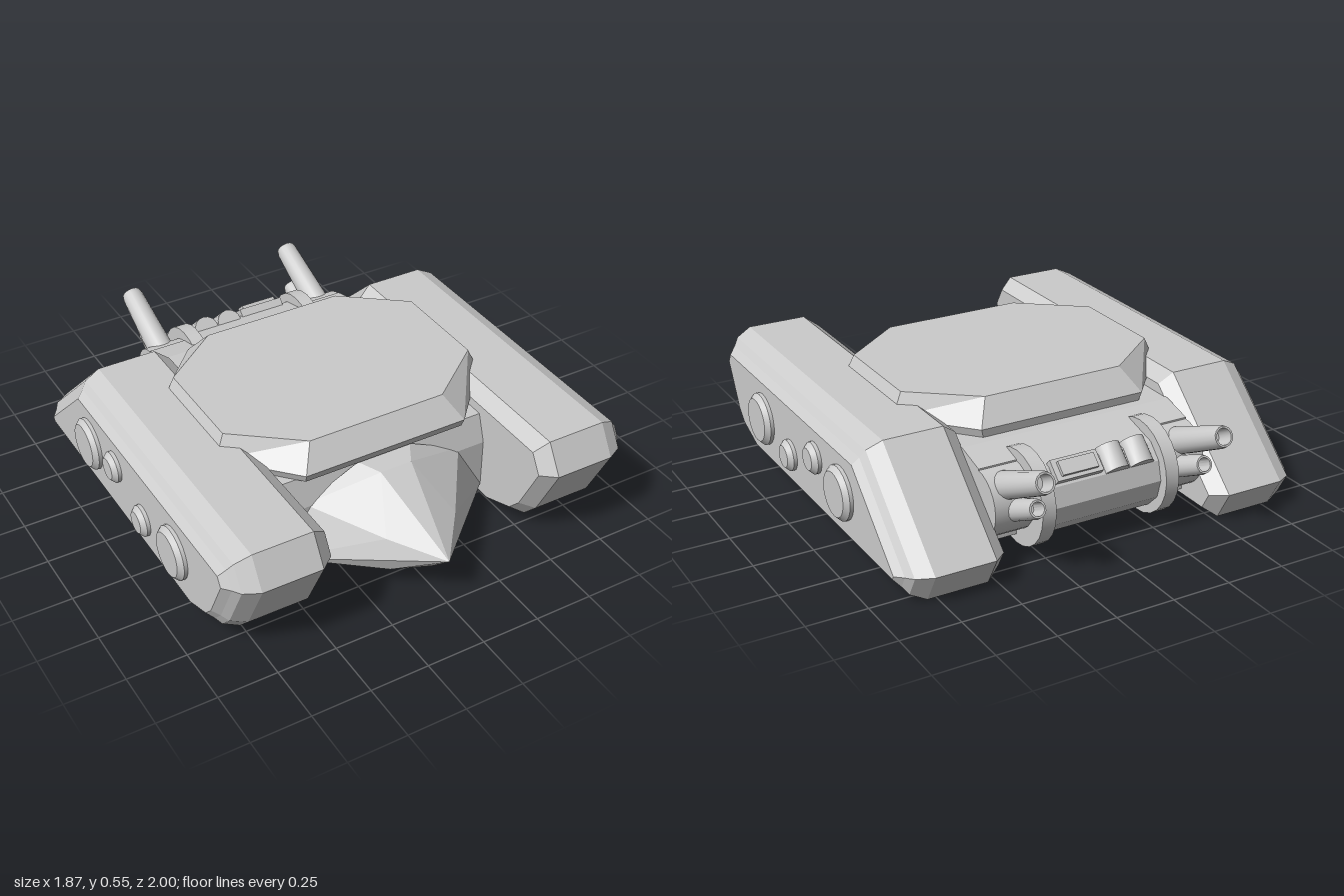
import * as THREE from 'three';
import { ConvexGeometry } from 'three/addons/geometries/ConvexGeometry.js';
import { toCreasedNormals } from 'three/addons/utils/BufferGeometryUtils.js';

const flat = new THREE.MeshStandardMaterial({ color: 0xcccccc, flatShading: true });
const smooth = new THREE.MeshStandardMaterial({ color: 0xcccccc });

// Skin between equal-length rings of [x, y, z] points, with both ends capped.
function loft(rings) {
  const n = rings[0].length;
  const p = rings.flat();
  const faces = [];
  for (let r = 0; r < rings.length - 1; r++) {
    for (let i = 0; i < n; i++) {
      const a = r * n + i, b = r * n + (i + 1) % n;
      faces.push([a, b, b + n], [a, b + n, a + n]);
    }
  }
  const last = (rings.length - 1) * n;
  for (let i = 1; i < n - 1; i++) faces.push([0, i + 1, i], [last, last + i, last + i + 1]);
  // Turn all faces outward, whichever way the rings run.
  const v = (i) => new THREE.Vector3(...p[i]);
  let volume = 0;
  for (const [a, b, c] of faces) volume += v(a).dot(v(b).cross(v(c)));
  const index = faces.flatMap(([a, b, c]) => (volume > 0 ? [a, b, c] : [a, c, b]));
  const g = new THREE.BufferGeometry();
  g.setAttribute('position', new THREE.Float32BufferAttribute(p.flat(), 3));
  g.setIndex(index);
  const out = g.toNonIndexed();
  out.computeVertexNormals();
  return out;
}

// Move every edge of a counter-clockwise outline inward by d.
function inset(outline, d) {
  const n = outline.length;
  const normal = (a, b) => {
    const l = Math.hypot(b[0] - a[0], b[1] - a[1]);
    return [-(b[1] - a[1]) / l, (b[0] - a[0]) / l];
  };
  return outline.map((q, i) => {
    const u = normal(outline[(i + n - 1) % n], q);
    const w = normal(q, outline[(i + 1) % n]);
    const k = d / (1 + u[0] * w[0] + u[1] * w[1]);
    return [q[0] + (u[0] + w[0]) * k, q[1] + (u[1] + w[1]) * k];
  });
}

const sideRing = (outline, x) => outline.map(([z, y]) => [x, y, z]);

function add(parent, name, geometry, material = flat) {
  const m = new THREE.Mesh(geometry, material);
  m.name = name;
  parent.add(m);
  return m;
}

// Round part lying along x, tapering from r0 to r1 on the outer side.
function disc(parent, name, side, x0, x1, r0, r1, y, z) {
  const g = new THREE.CylinderGeometry(r1, r0, x1 - x0, 24);
  const m = add(parent, name, toCreasedNormals(g, 0.6), smooth);
  m.rotation.z = -side * Math.PI / 2;
  m.position.set(side * (x0 + x1) / 2, y, z);
}

// Hollow pipe running up and backward from its base.
function pipe(parent, name, x, y, z, length, r0, r1) {
  const profile = [[0, 0], [r0, 0], [r1, length - 0.02], [r1 - 0.005, length],
    [r1 - 0.013, length], [r1 - 0.015, length - 0.08], [0, length - 0.08]];
  const g = new THREE.LatheGeometry(profile.map((q) => new THREE.Vector2(...q)), 16);
  const m = add(parent, name, toCreasedNormals(g, 0.6), smooth);
  m.position.set(x, y, z);
  m.rotation.x = -1.135;
}

// Side outline of a track pod, as z, y.
const podOutline = [[-0.455, 0.505], [-0.87, 0.125], [-0.8, 0], [0.6, 0],
  [0.77, 0.065], [0.84, 0.14], [0.96, 0.38], [0.885, 0.505]].reverse();
const ccw = (o) => {
  let area = 0;
  o.forEach((a, i) => { const b = o[(i + 1) % o.length]; area += a[0] * b[1] - b[0] * a[1]; });
  return area > 0 ? o : o.slice().reverse();
};
const podSections = [[0.47, 0.045], [0.53, 0], [0.785, 0], [0.85, 0.03], [0.872, 0.06], [0.9, 0.09]];
const wheels = [[0.47, 0.255, 0.112], [0.185, 0.205, 0.066], [-0.07, 0.3, 0.066], [-0.315, 0.255, 0.112]];

function makePod(side) {
  const pod = new THREE.Group();
  pod.name = side > 0 ? 'leftTrackPod' : 'rightTrackPod';
  const outline = ccw(podOutline);
  add(pod, 'podShell', loft(podSections.map(([x, d]) => sideRing(inset(outline, d), side * x))));
  for (const [z, y, r] of wheels) {
    disc(pod, 'wheelRim', side, 0.87, 0.915, r, r, y, z);
    disc(pod, 'wheelCap', side, 0.915, 0.935, r, r - 0.02, y, z);
  }
  return pod;
}

// Eight-sided ring for the top plate.
function plateRing(y, w, wFront, wBack, front, sideFront, sideBack, back) {
  const half = [[wFront, front], [w, sideFront], [w, sideBack], [wBack, back]];
  return [...half, ...half.slice().reverse().map(([x, z]) => [-x, z])].map(([x, z]) => [x, y, z]);
}

export function createModel() {
  const model = new THREE.Group();
  model.name = 'hoverTank';
  for (const s of [1, -1]) model.add(makePod(s));

  // Body between the pods
  const hull = [[0.54, 0.085], [0.54, 0.3], [0.5, 0.42], [-0.5, 0.42], [-0.63, 0.385], [-0.63, 0.065], [0.5, 0.065]];
  add(model, 'hull', loft([sideRing(hull, -0.475), sideRing(hull, 0.475)]));

  // Top plate with bevelled rim
  add(model, 'topPlate', loft([
    plateRing(0.42, 0.6, 0.36, 0.36, 0.53, 0.27, -0.19, -0.46),
    plateRing(0.455, 0.615, 0.365, 0.37, 0.543, 0.275, -0.19, -0.465),
    plateRing(0.553, 0.573, 0.305, 0.31, 0.465, 0.255, -0.18, -0.385),
  ]));

  // Faceted nose
  const nose = [[0, 0.21, 1], [0, 0.105, 0.89]];
  for (const s of [1, -1]) {
    nose.push([s * 0.07, 0.405, 0.61], [s * 0.12, 0.415, 0.52], [s * 0.16, 0.245, 0.8],
      [s * 0.15, 0.1, 0.82], [s * 0.47, 0.085, 0.54], [s * 0.36, 0.3, 0.52], [s * 0.46, 0.07, 0.5]);
  }
  add(model, 'nose', new ConvexGeometry(nose.map((q) => new THREE.Vector3(...q))));

  // Rear drum with end rings and pipe mounts
  const drum = add(model, 'rearDrum', new THREE.CylinderGeometry(0.16, 0.16, 0.62, 12));
  drum.rotation.z = Math.PI / 2;
  drum.position.set(0, 0.225, -0.63);
  for (const s of [1, -1]) {
    disc(model, 'drumRing', s, 0.25, 0.31, 0.198, 0.198, 0.227, -0.63);
    disc(model, 'pipeMount', s, 0.31, 0.475, 0.14, 0.14, 0.24, -0.62);
    pipe(model, 'exhaustPipe', s * 0.395, 0.32, -0.68, 0.335, 0.057, 0.046);
    pipe(model, 'lowerExhaustPipe', s * 0.375, 0.215, -0.69, 0.23, 0.047, 0.04);
  }

  // Canisters and vent box on the drum's upper back
  const fittings = new THREE.Group();
  fittings.name = 'rearFittings';
  fittings.position.set(0, 0.335, -0.72);
  fittings.rotation.x = -0.75;
  for (const x of [-0.173, -0.06]) {
    const can = add(fittings, 'canister', toCreasedNormals(new THREE.CylinderGeometry(0.055, 0.055, 0.11, 16), 0.6), smooth);
    can.rotation.x = Math.PI / 2;
    can.position.x = x;
  }
  add(fittings, 'ventBox', new THREE.BoxGeometry(0.205, 0.06, 0.09)).position.set(0.113, 0.01, 0);
  add(fittings, 'ventLid', new THREE.BoxGeometry(0.16, 0.02, 0.06)).position.set(0.113, 0.045, 0);
  model.add(fittings);
  return model;
}
